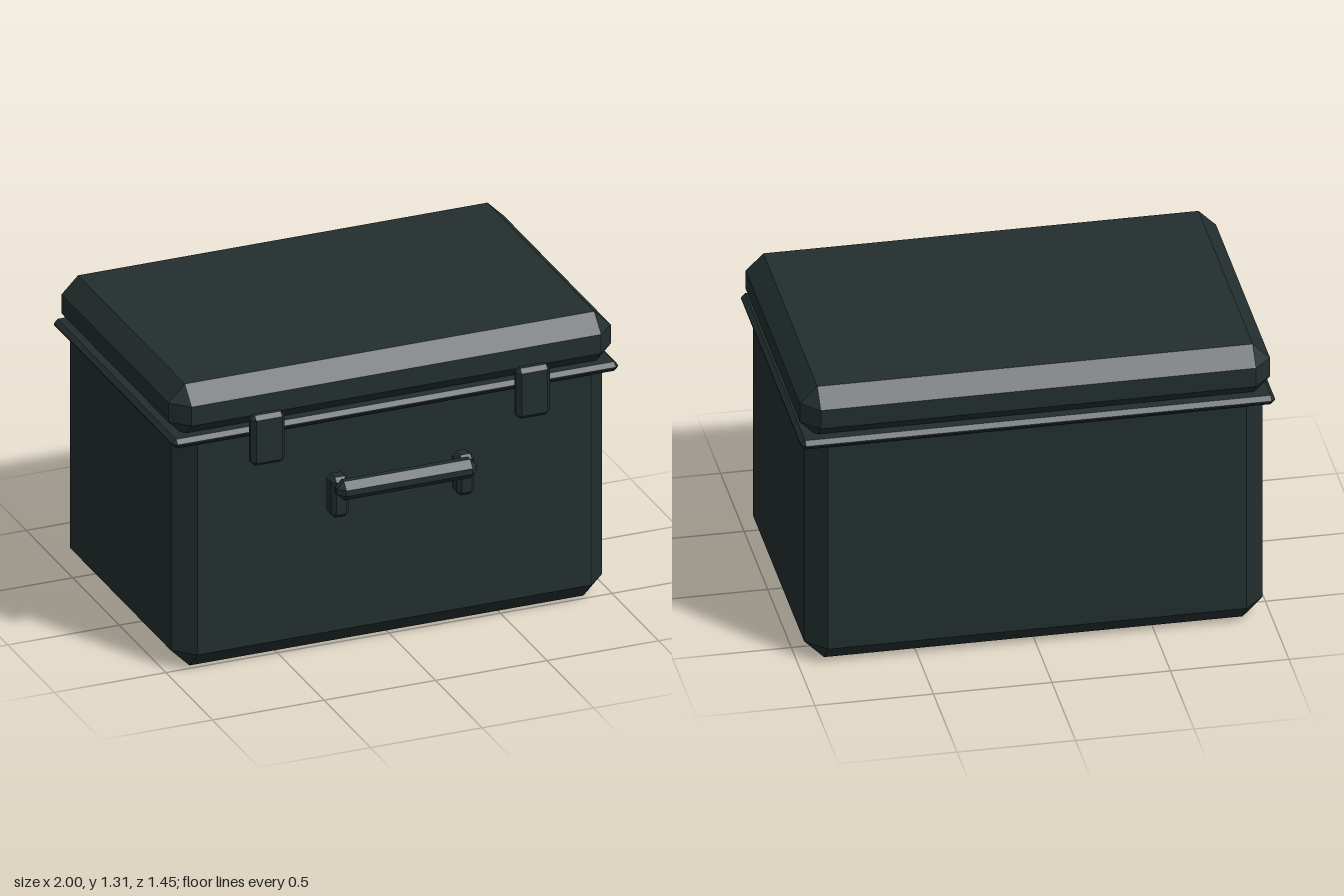
import * as THREE from 'three';
import { ConvexGeometry } from 'three/addons/geometries/ConvexGeometry.js';

// Box with every edge cut at 45 degrees by c, given by its lower and upper corners
function chamferBox(min, max, c) {
  const lo = new THREE.Vector3(...min), hi = new THREE.Vector3(...max);
  const half = hi.clone().sub(lo).multiplyScalar(0.5);
  const points = [];
  for (const sx of [-1, 1]) for (const sy of [-1, 1]) for (const sz of [-1, 1]) {
    // each corner becomes three points, one per touching face
    for (const axis of ['x', 'y', 'z']) {
      const p = half.clone().subScalar(c);
      p[axis] = half[axis];
      points.push(p.multiply(new THREE.Vector3(sx, sy, sz)));
    }
  }
  const geometry = new ConvexGeometry(points);
  const mid = lo.add(hi).multiplyScalar(0.5);
  return geometry.translate(mid.x, mid.y, mid.z);
}

export function createModel() {
  const model = new THREE.Group();
  model.name = 'storageCase';

  const casing = new THREE.MeshStandardMaterial({ color: 0x232e2e, flatShading: true });
  casing.name = 'dark casing';

  const add = (name, min, max, c) => {
    const mesh = new THREE.Mesh(chamferBox(min, max, c), casing);
    mesh.name = name;
    model.add(mesh);
  };

  // Main shell, rim and lid
  add('body', [-0.967, 0, -0.69], [0.967, 1.135, 0.557], 0.084);
  add('rim', [-1, 1.05, -0.722], [1, 1.092, 0.585], 0.018);
  add('lid', [-0.992, 1.072, -0.714], [0.992, 1.307, 0.58], 0.074);

  // Latches and handle brackets, mirrored on the front
  for (const [side, s] of [['left', 1], ['right', -1]]) {
    const x = 0.595 * s, b = 0.281 * s;
    add(side + 'Latch', [x - 0.076, 0.935, 0.586], [x + 0.076, 1.165, 0.641], 0.018);
    add(side + 'HandleBracket', [b - 0.04, 0.645, 0.582], [b + 0.04, 0.829, 0.664], 0.018);
  }

  // Carry bar
  add('handleBar', [-0.313, 0.741, 0.638], [0.313, 0.827, 0.724], 0.03);

  return model;
}
